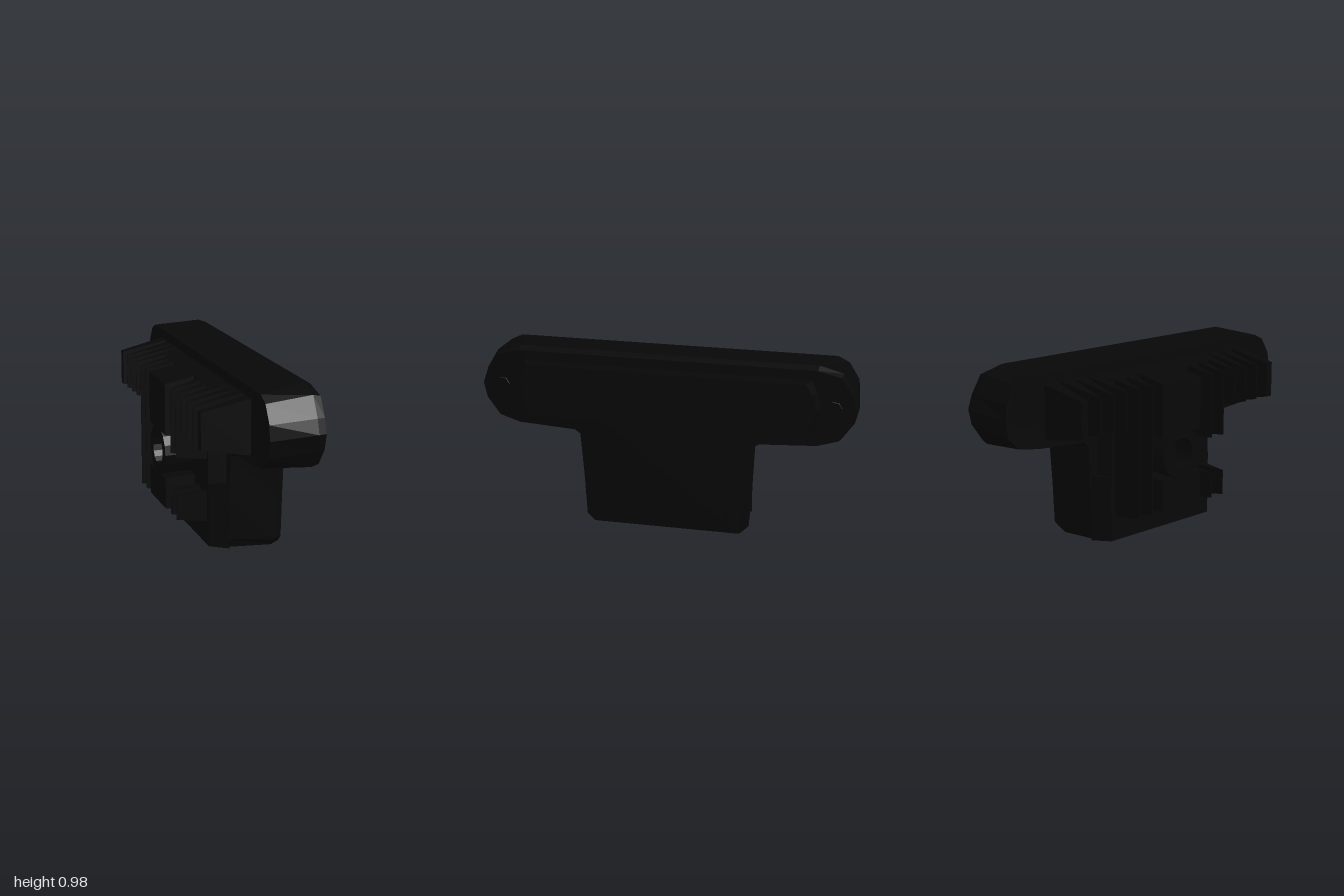
import * as THREE from 'three';

// Joins matching outlines of [z, y] points placed at successive x and caps both ends.
// Outlines run anticlockwise as seen from +x.
function loft(sections) {
  const pos = [];
  const n = sections[0].ring.length;
  const put = (s, i) => {
    const p = sections[s].ring[i % n];
    pos.push(sections[s].x, p[1], p[0]);
  };
  for (let s = 0; s < sections.length - 1; s++) {
    for (let i = 0; i < n; i++) {
      put(s, i); put(s, i + 1); put(s + 1, i + 1);
      put(s, i); put(s + 1, i + 1); put(s + 1, i);
    }
  }
  for (const s of [0, sections.length - 1]) {
    const flat = sections[s].ring.map(([z, y]) => new THREE.Vector2(-z, y));
    for (const [a, b, c] of THREE.ShapeUtils.triangulateShape(flat, [])) {
      if (s === 0) { put(s, a); put(s, c); put(s, b); }
      else { put(s, a); put(s, b); put(s, c); }
    }
  }
  const g = new THREE.BufferGeometry();
  g.setAttribute('position', new THREE.Float32BufferAttribute(pos, 3));
  g.computeVertexNormals();
  return g;
}

// Half outline from bottom to top, mirrored across z = 0.
const mirror = (half) => [
  ...half.map(([z, y]) => [-z, y]),
  ...[...half].reverse(),
];
const rect = (z0, z1, y0, y1) => [[z0, y0], [z0, y1], [z1, y1], [z1, y0]];

export function createModel() {
  const group = new THREE.Group();
  const black = new THREE.MeshStandardMaterial({ color: 0x070707, flatShading: true });
  black.name = 'black plastic';
  const add = (name, geometry, parent = group) => {
    const m = new THREE.Mesh(geometry, black);
    m.name = name;
    parent.add(m);
    return m;
  };

  // T-shaped housing with drafted sides and a bevelled front edge
  const back = [[0.4, 0.02], [0.42, 0.07], [0.43, 0.3], [0.44, 0.53], [0.47, 0.56], [0.78, 0.585],
    [0.9, 0.605], [0.97, 0.67], [0.982, 0.76], [0.975, 0.84], [0.92, 0.93], [0.86, 0.96]];
  const front = [[0.4, 0.004], [0.445, 0.05], [0.452, 0.3], [0.47, 0.52], [0.5, 0.54], [0.8, 0.557],
    [0.91, 0.59], [0.98, 0.69], [1, 0.775], [0.975, 0.85], [0.915, 0.952], [0.79, 0.987]];
  const rim = [[0.395, 0.02], [0.435, 0.06], [0.447, 0.3], [0.464, 0.525], [0.495, 0.547], [0.795, 0.565],
    [0.905, 0.6], [0.972, 0.695], [0.99, 0.775], [0.965, 0.848], [0.907, 0.942], [0.785, 0.972]];
  add('housing', loft([
    { x: -0.045, ring: mirror(back) },
    { x: 0.2, ring: mirror(front) },
    { x: 0.242, ring: mirror(rim) },
  ]));

  // Raised front window
  const win = (d) => mirror([[0.73 - d, 0.62 + d / 3], [0.78 - d, 0.67], [0.82 - d, 0.77],
    [0.79 - d, 0.86], [0.76 - d, 0.92 - d / 3]]);
  add('frontWindow', loft([{ x: 0.23, ring: win(0) }, { x: 0.294, ring: win(0.025) }]));

  // Rear of the stem and the raised panel behind the tall fins
  add('stemRear', loft([
    { x: -0.136, ring: rect(-0.37, 0.37, 0.024, 0.37) },
    { x: -0.04, ring: rect(-0.425, 0.425, 0.02, 0.375) },
  ]));
  add('rearPanel', loft([
    { x: -0.138, ring: rect(-0.365, 0.365, 0.3, 0.89) },
    { x: -0.04, ring: rect(-0.385, 0.385, 0.3, 0.91) },
  ]));

  // Cooling fins, tapering to an edge at the back
  const fins = new THREE.Group();
  fins.name = 'coolingFins';
  group.add(fins);
  const fin = (name, z, tip, base, y0, y1, yb0, yb1) => add(name, loft([
    { x: -0.296, ring: rect(z - tip, z + tip, y0, y1) },
    { x: -0.04, ring: rect(z - base, z + base, yb0, yb1) },
  ]), fins);
  for (const s of [-1, 1]) {
    fin('endFin', s * 0.693, 0.02, 0.042, 0.665, 0.855, 0.62, 0.91);
    for (const z of [0.585, 0.497, 0.407]) {
      fin('shortFin', s * z, 0.003, 0.043, 0.665, 0.855, 0.62, 0.91);
    }
  }
  // Tall fins: full height on one side, notched on the other
  for (const z of [0.316, 0.225]) {
    fin('tallFin', -z, 0.003, 0.043, 0.173, 0.855, 0.145, 0.91);
    fin('tallFinUpper', z, 0.003, 0.043, 0.51, 0.855, 0.49, 0.91);
    fin('tallFinLower', z, 0.003, 0.043, 0.173, 0.31, 0.145, 0.32);
  }
  fin('centreBlockUpper', -0.008, 0.14, 0.15, 0.58, 0.857, 0.56, 0.91);
  fin('centreBlockLower', -0.008, 0.14, 0.15, 0.173, 0.34, 0.145, 0.36);

  // Round mount socket in the middle of the fins
  const ring = new THREE.Shape().absarc(0, 0, 0.135, 0, Math.PI * 2);
  ring.holes.push(new THREE.Path().absarc(0, 0, 0.085, 0, Math.PI * 2, true));
  const socketGeo = new THREE.ExtrudeGeometry(ring, { depth: 0.165, bevelEnabled: false, curveSegments: 8 });
  const socket = add('mountSocket', socketGeo);
  socket.rotation.y = -Math.PI / 2;
  socket.position.set(-0.13, 0.465, -0.008);
  const pin = add('socketPin', new THREE.CylinderGeometry(0.045, 0.045, 0.09, 8));
  pin.rotation.z = Math.PI / 2;
  pin.position.set(-0.17, 0.465, -0.008);

  // Screws nearly flush with the front face
  for (const s of [-1, 1]) {
    for (const [z, y, r, sides] of [[0.88, 0.78, 0.04, 6], [0.33, 0.12, 0.04, 3]]) {
      const screw = add('frontScrew', new THREE.CylinderGeometry(r * 0.8, r, 0.006, sides));
      screw.rotation.z = -Math.PI / 2;
      screw.position.set(0.241, y, s * z);
    }
  }

  // Port cover and plug under the stem
  const plug = add('bottomPlug', new THREE.CylinderGeometry(0.05, 0.05, 0.006, 6));
  plug.position.set(0.03, 0.0145, 0.13);
  const port = add('bottomPort', new THREE.BoxGeometry(0.09, 0.006, 0.16));
  port.position.set(0.03, 0.0145, -0.12);

  return group;
}
